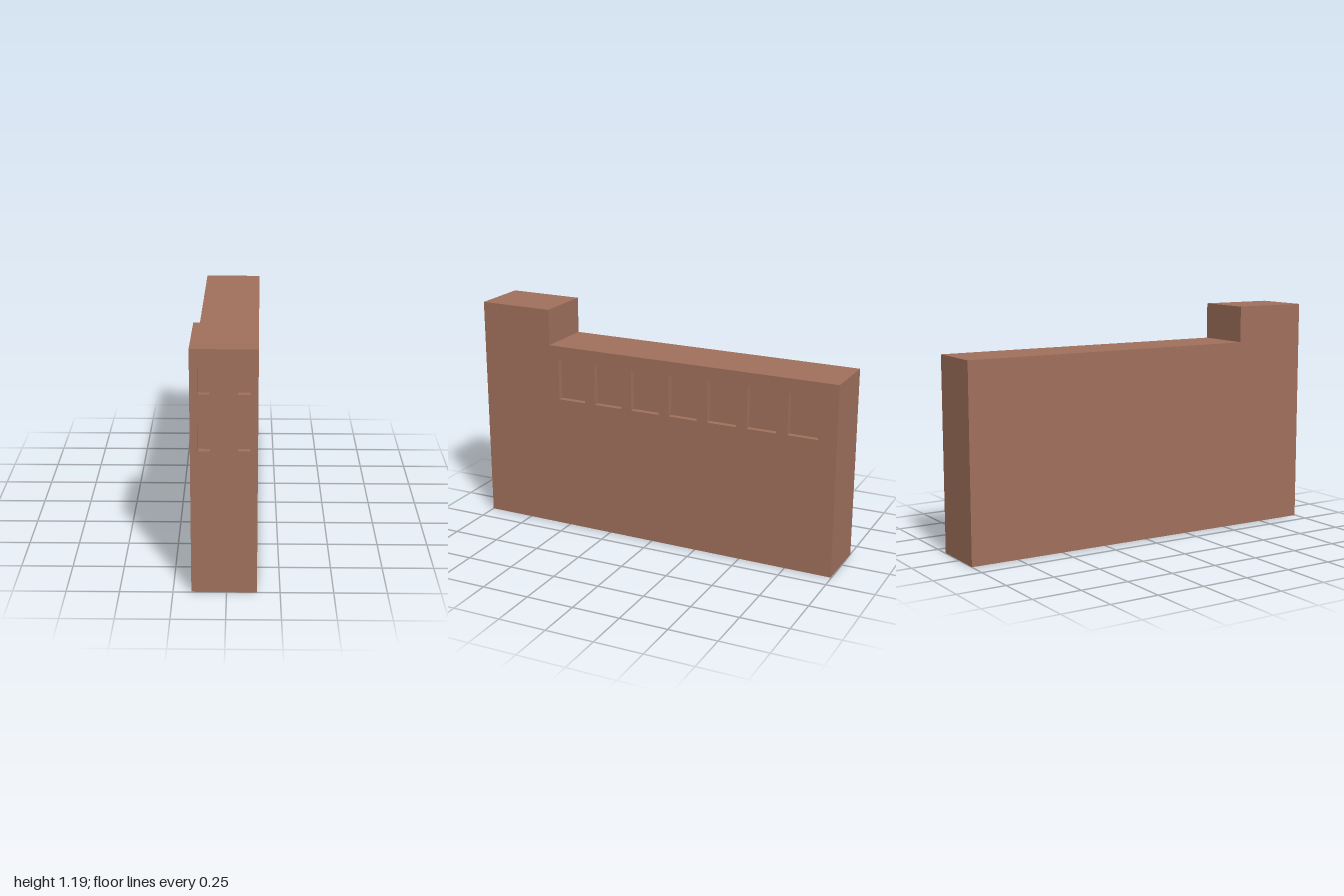
import * as THREE from 'three';

const W = 0.153, L = 0.998;          // half width, half length
const LOW = 1.0, HIGH = 1.19;        // roof heights
const STEP = 0.598;                  // z where the tower meets the long wing
const DEPTH = 0.03;                  // window recess depth

const material = new THREE.MeshStandardMaterial({ color: 0xa0705c, side: THREE.DoubleSide });

function mesh(name, geometry) {
  const m = new THREE.Mesh(geometry, material);
  m.name = name;
  return m;
}

// Recess open towards +z: a box without its front face
function pocket(x0, x1, y0, y1) {
  const g = new THREE.BoxGeometry(x1 - x0, y1 - y0, DEPTH);
  const index = Array.from(g.index.array);
  index.splice(24, 6);
  g.setIndex(index);
  // turn the faces inwards
  for (let i = 0; i < index.length; i += 3) {
    g.index.setX(i + 1, index[i + 2]);
    g.index.setX(i + 2, index[i + 1]);
  }
  for (let i = 0; i < g.attributes.normal.count; i++) {
    const n = g.attributes.normal;
    n.setXYZ(i, -n.getX(i), -n.getY(i), -n.getZ(i));
  }
  g.translate((x0 + x1) / 2, (y0 + y1) / 2, -DEPTH / 2);
  return g;
}

// Flat wall with recessed windows, turned to face its direction and pushed outwards
function wall(name, points, windows, angle, distance) {
  const group = new THREE.Group();
  group.name = name;
  const shape = new THREE.Shape(points.map(([x, y]) => new THREE.Vector2(x, y)));
  for (const [x0, x1, y0, y1] of windows) {
    const hole = [[x0, y0], [x0, y1], [x1, y1], [x1, y0]];
    shape.holes.push(new THREE.Path(hole.map(([x, y]) => new THREE.Vector2(x, y))));
    group.add(mesh('windowRecess', pocket(x0, x1, y0, y1)));
  }
  group.add(mesh(name + 'Surface', new THREE.ShapeGeometry(shape)));
  group.rotation.y = angle;
  group.position.set(Math.sin(angle) * distance, 0, Math.cos(angle) * distance);
  return group;
}

const rect = (x, y0, y1) => [[-x, y0], [x, y0], [x, y1], [-x, y1]];

function roof(name, z0, z1, y) {
  const g = new THREE.PlaneGeometry(2 * W, z1 - z0).rotateX(-Math.PI / 2);
  g.translate(0, y, (z0 + z1) / 2);
  return mesh(name, g);
}

export function createModel() {
  const building = new THREE.Group();
  building.name = 'building';

  // Long side with a row of seven windows
  const sideWindows = [];
  for (let i = 0; i < 7; i++) {
    const u = -0.545 + i * 0.215;
    sideWindows.push([u, u + 0.156, 0.71, 0.925]);
  }
  const side = [[-L, 0], [L, 0], [L, LOW], [-STEP, LOW], [-STEP, HIGH], [-L, HIGH]];
  building.add(wall('leftWall', side, sideWindows, Math.PI / 2, W));

  // Plain opposite side, mirrored outline
  const mirrored = side.map(([x, y]) => [-x, y]).reverse();
  building.add(wall('rightWall', mirrored, [], -Math.PI / 2, W));

  // Narrow front with two pairs of windows
  const frontWindows = [];
  for (const y of [0.71, 0.98]) {
    for (const x of [-0.117, 0.062]) frontWindows.push([x, x + 0.055, y, y + 0.128]);
  }
  building.add(wall('frontWall', rect(W, 0, HIGH), frontWindows, 0, L));

  // Rear walls of the wing and of the tower above its roof
  building.add(wall('backWall', rect(W, 0, LOW), [], Math.PI, L));
  building.add(wall('towerBackWall', rect(W, LOW, HIGH), [], Math.PI, -STEP));

  // Flat roofs; the underside stays open
  building.add(roof('wingRoof', -L, STEP, LOW), roof('towerRoof', STEP, L, HIGH));

  // The plan sits slightly turned
  building.rotation.y = -0.0113;
  const model = new THREE.Group();
  model.name = 'model';
  model.add(building);
  return model;
}
